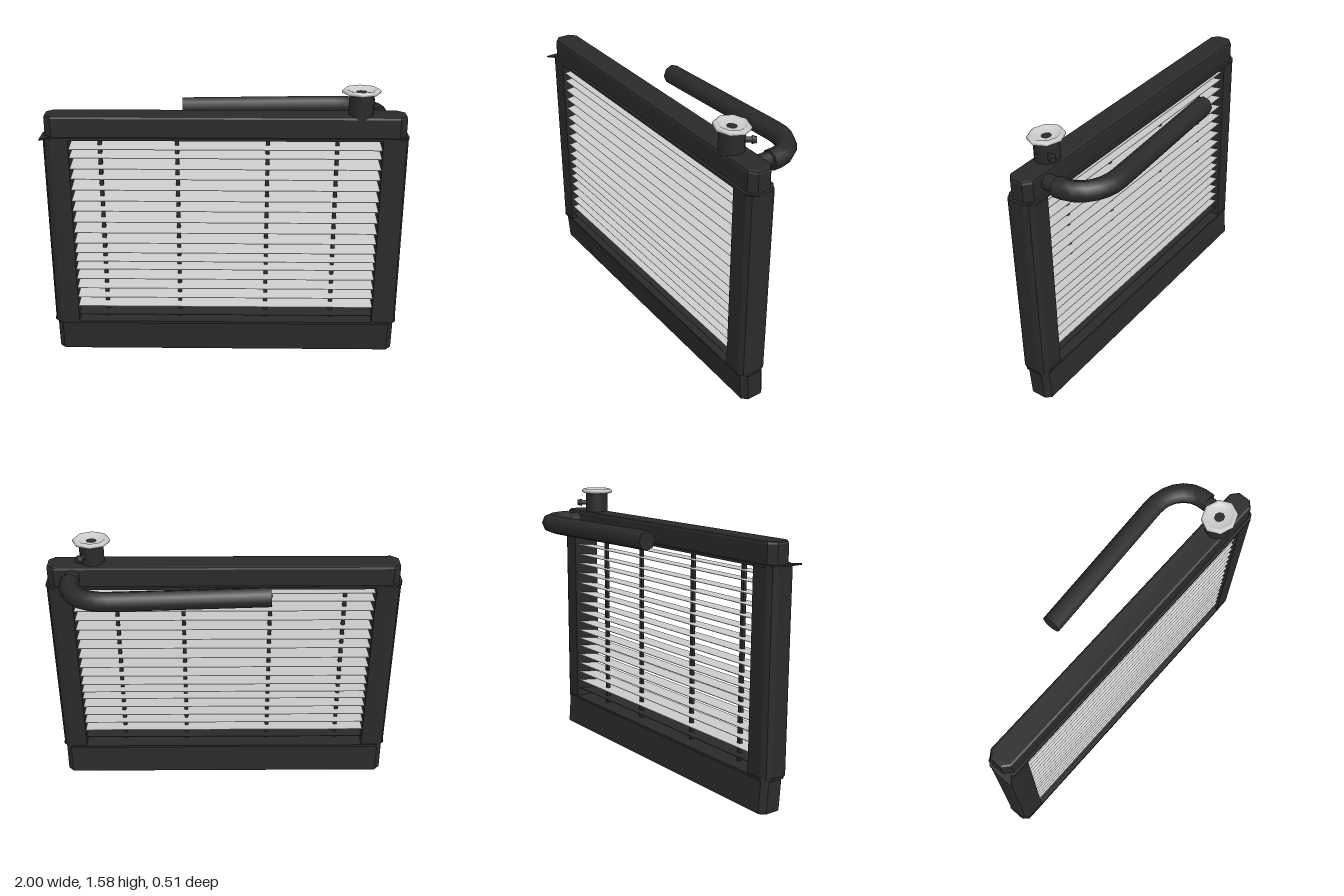
import * as THREE from 'three';

const dark = new THREE.MeshStandardMaterial({ color: 0x2a2a2a });
const darkFlat = new THREE.MeshStandardMaterial({ color: 0x2a2a2a, flatShading: true });
const grey = new THREE.MeshStandardMaterial({ color: 0xcccccc, side: THREE.DoubleSide });

export function createModel() {
  const model = new THREE.Group();

  const add = (name, geometry, material, x = 0, y = 0, z = 0) => {
    const mesh = new THREE.Mesh(geometry, material);
    mesh.name = name;
    mesh.position.set(x, y, z);
    model.add(mesh);
    return mesh;
  };

  // Vertical prism over a plan outline of [x, z] points, with an optional bevel
  const prism = (plan, y0, y1, bevel = 0) => {
    const shape = new THREE.Shape(plan.map(([x, z]) => new THREE.Vector2(x, z)));
    const geometry = new THREE.ExtrudeGeometry(shape, {
      depth: y1 - y0 - 2 * bevel,
      bevelEnabled: bevel > 0,
      bevelSize: bevel,
      bevelOffset: -bevel,
      bevelThickness: bevel,
      bevelSegments: 2,
    });
    return geometry.rotateX(Math.PI / 2).translate(0, y1 - bevel, 0);
  };

  // Rectangle with chamfered corners
  const chamfered = (w, z0, z1, cx, cz) => [
    [-w, z0 + cz], [-w + cx, z0], [w - cx, z0], [w, z0 + cz],
    [w, z1 - cz], [w - cx, z1], [-w + cx, z1], [-w, z1 - cz],
  ];

  // Header tanks; the lower one leans back towards its foot
  add('upperTank', prism(chamfered(0.98, 0.07, 0.213, 0.04, 0.035), 1.31, 1.44, 0.015), darkFlat);
  const lower = prism(chamfered(0.98, 0.065, 0.213, 0.03, 0.03), 0, 0.2, 0.012);
  const p = lower.attributes.position;
  for (let i = 0; i < p.count; i++) {
    p.setZ(i, p.getZ(i) - 0.015 * (1 - p.getY(i) / 0.2));
  }
  lower.computeVertexNormals();
  add('lowerTank', lower, darkFlat);

  // Flange plates between tanks and core
  const plate = chamfered(0.995, 0.055, 0.228, 0.05, 0.045);
  add('upperFlange', prism(plate, 1.308, 1.322), darkFlat);
  add('lowerFlange', prism(plate, 0.188, 0.202), darkFlat);

  // Side posts with chamfered outer edges
  for (const s of [-1, 1]) {
    const plan = [[0.85, 0.06], [0.95, 0.06], [0.978, 0.075], [0.992, 0.105],
      [0.992, 0.18], [0.978, 0.21], [0.95, 0.225], [0.85, 0.225]];
    add(s > 0 ? 'leftPost' : 'rightPost',
      prism(plan.map(([x, z]) => [x * s, z]), 0.195, 1.315), darkFlat);
  }

  // Bent corner tab on the upper flange
  const tab = new THREE.Shape([[-1, 0.12], [-0.955, 0.21], [-1, 0.252]]
    .map(([x, z]) => new THREE.Vector2(x, z)));
  add('cornerTab', new THREE.ExtrudeGeometry(tab, { depth: 0.008, bevelEnabled: false })
    .rotateX(Math.PI / 2), darkFlat, 0, 1.322, 0);

  // Cooling fins, front edge tilted down; the lowest one is dark
  const finHeights = [1.26, 1.21, 1.147, 1.087, 1.023, 0.958, 0.897, 0.83, 0.765,
    0.702, 0.642, 0.588, 0.538, 0.477, 0.417, 0.358, 0.3, 0.246];
  const finGeometry = new THREE.BoxGeometry(1.71, 0.003, 0.134).rotateX(0.12);
  finHeights.forEach((y, i) => {
    add('fin', finGeometry, i === finHeights.length - 1 ? dark : grey, 0, y, 0.145);
  });

  // Upright core tubes
  for (const x of [-0.688, -0.264, 0.232, 0.612]) {
    add('coreTube', new THREE.BoxGeometry(0.021, 1.12, 0.021), dark, x, 0.755, 0.145);
  }

  // Filler neck, overflow nipple and dished cap
  add('fillerNeck', new THREE.CylinderGeometry(0.068, 0.068, 0.14, 12), dark, 0.73, 1.495, 0.15);
  const nipple = new THREE.Group();
  nipple.name = 'overflowNipple';
  const stem = new THREE.Mesh(new THREE.CylinderGeometry(0.015, 0.015, 0.11, 8), dark);
  stem.position.y = 0.055;
  const bead = new THREE.Mesh(new THREE.CylinderGeometry(0.017, 0.023, 0.025, 8), dark);
  bead.position.y = 0.108;
  nipple.add(stem, bead);
  nipple.position.set(0.73, 1.493, 0.15);
  nipple.quaternion.setFromUnitVectors(new THREE.Vector3(0, 1, 0),
    new THREE.Vector3(0.62, 0, -0.85).normalize());
  model.add(nipple);

  const capProfile = [[0, 1.553], [0.09, 1.553], [0.104, 1.56], [0.104, 1.572],
    [0.094, 1.58], [0.078, 1.578], [0.062, 1.566], [0, 1.564]];
  const cap = add('fillerCap', new THREE.LatheGeometry(
    capProfile.map(([r, y]) => new THREE.Vector2(r, y)), 8), grey, 0.727, 0, 0.15);
  cap.scale.z = 0.88;

  // Hose stub and hose sweeping behind the core
  const y = 1.384;
  add('hoseStub', new THREE.CylinderGeometry(0.043, 0.043, 0.13, 10).rotateX(Math.PI / 2),
    dark, 0.838, y, 0.045);
  const path = new THREE.CurvePath();
  const v = (x, z) => new THREE.Vector3(x, y, z);
  path.add(new THREE.LineCurve3(v(0.845, 0.005), v(0.842, -0.05)));
  path.add(new THREE.CubicBezierCurve3(v(0.842, -0.05), v(0.83, -0.13), v(0.75, -0.21), v(0.62, -0.205)));
  path.add(new THREE.LineCurve3(v(0.62, -0.205), v(-0.248, -0.16)));
  add('hose', new THREE.TubeGeometry(path, 24, 0.055, 8, false), dark);

  // Hose end caps
  for (const t of [0, 1]) {
    const end = add('hoseEnd', new THREE.CircleGeometry(0.055, 8), dark);
    const at = path.getPointAt(t);
    end.position.copy(at);
    end.lookAt(at.clone().addScaledVector(path.getTangentAt(t), t ? 1 : -1));
  }

  return model;
}
